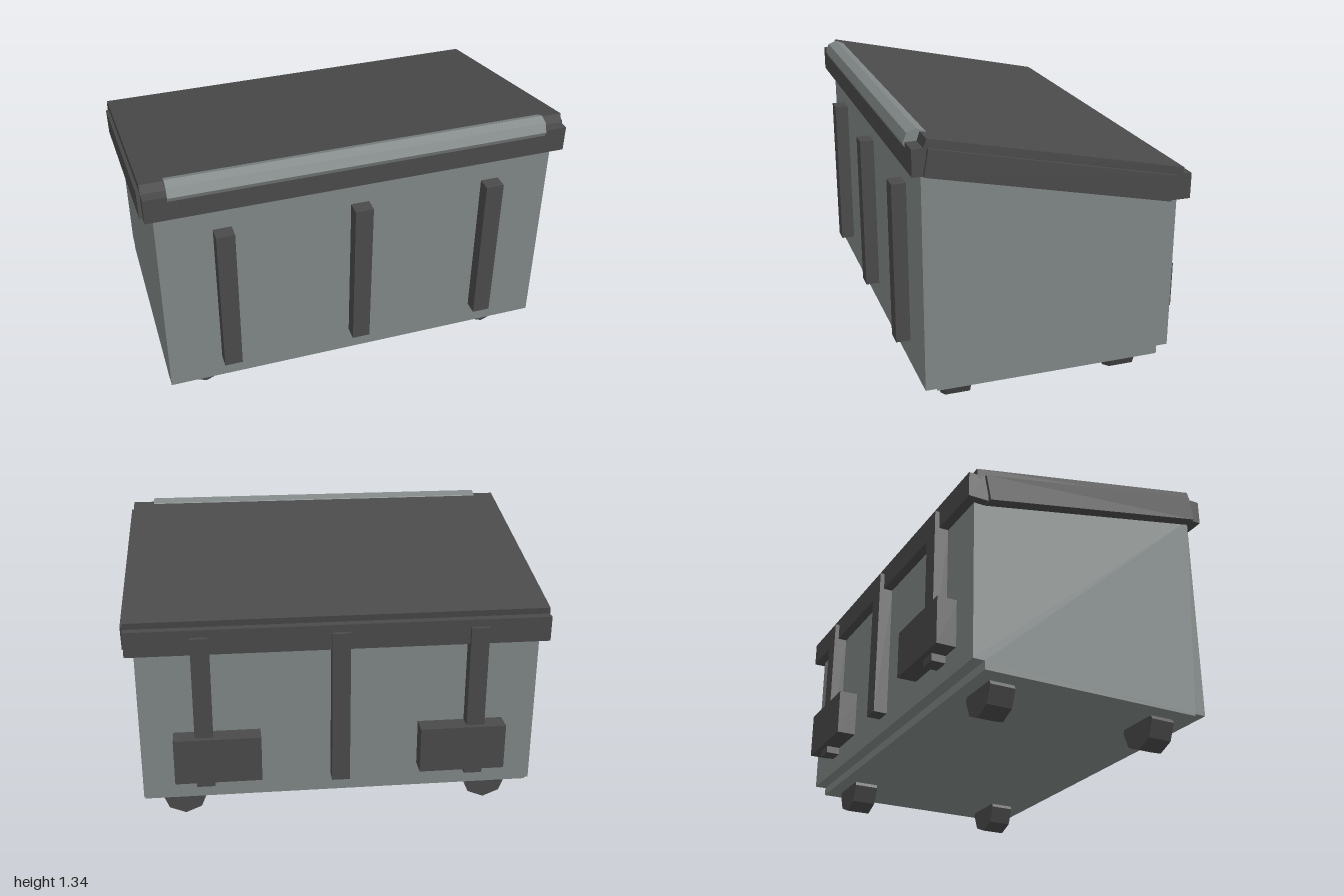
import * as THREE from 'three';

export function createModel() {
  const model = new THREE.Group();
  model.name = 'wasteContainer';
  const grey = new THREE.MeshStandardMaterial({ color: 0x808786 });
  grey.name = 'grey steel';
  const dark = new THREE.MeshStandardMaterial({ color: 0x4a4a4a });
  dark.name = 'dark plastic';

  const add = (name, geometry, material) => {
    const mesh = new THREE.Mesh(geometry, material);
    mesh.name = name;
    model.add(mesh);
    return mesh;
  };
  // Box given by its limits on each axis
  const box = (name, [x0, x1], [y0, y1], [z0, z1], material) =>
    add(name, new THREE.BoxGeometry(x1 - x0, y1 - y0, z1 - z0), material)
      .position.set((x0 + x1) / 2, (y0 + y1) / 2, (z0 + z1) / 2);
  // Side profile of [z, y] points, extruded across x
  const profile = (name, points, x0, x1, material) => {
    const shape = new THREE.Shape(points.map(([z, y]) => new THREE.Vector2(z, y)));
    const geometry = new THREE.ExtrudeGeometry(shape, { depth: x1 - x0, bevelEnabled: false });
    geometry.rotateY(-Math.PI / 2).translate(x1, 0, 0);
    return add(name, geometry, material);
  };
  // Eight-sided prism with corners on its axes
  const octagon = (radius, length) =>
    new THREE.CylinderGeometry(radius, radius, length, 8).toNonIndexed();
  const faceted = (geometry) => { geometry.computeVertexNormals(); return geometry; };

  // Sloping body with stepped lower edges
  profile('body', [
    [0.605, 0.14], [0.605, 1.18], [-0.58, 0.95], [-0.58, 0.17],
    [-0.525, 0.17], [-0.525, 0.13], [0.55, 0.13], [0.55, 0.14],
  ], -0.945, 0.945, grey);

  // Lid and its rim
  profile('lid', [[0.605, 1.27], [0.588, 1.32], [-0.587, 1.07], [-0.58, 1.02]], -0.985, 0.985, dark);
  for (const [name, x0, x1] of [['rightRim', -1, -0.94], ['leftRim', 0.94, 1]]) {
    profile(name, [[0.605, 1.16], [0.585, 1.28], [-0.547, 1.04], [-0.525, 0.92]], x0, x1, dark);
  }
  box('frontRim', [-0.985, 0.985], [1.16, 1.28], [0.59, 0.652], dark);
  box('backRim', [-0.985, 0.985], [0.92, 1.04], [-0.625, -0.53], dark);

  // Bar along the high edge of the lid
  add('lidBar', faceted(octagon(0.058, 1.76).rotateZ(Math.PI / 2)), grey)
    .position.set(0, 1.277, 0.603);

  // Upright ribs on front and back
  for (const x of [-0.645, 0, 0.645]) {
    box('frontRib', [x - 0.043, x + 0.043], [0.26, 1.03], [0.59, 0.672], dark);
    box('backRib', [x - 0.043, x + 0.043], [0.25, 1.005], [-0.647, -0.57], dark);
  }

  for (const side of [-1, 1]) {
    // Lifting blocks over the outer back ribs
    const x = side * 0.583;
    box('liftBlock', [x - 0.205, x + 0.205], [0.285, 0.51], [-0.673, -0.57], dark);
    // Wheels
    for (const z of [0.425, -0.398]) {
      add('wheel', faceted(octagon(0.112, 0.12).rotateX(Math.PI / 2)), dark)
        .position.set(side * 0.755, 0.112, z);
    }
  }
  return model;
}
